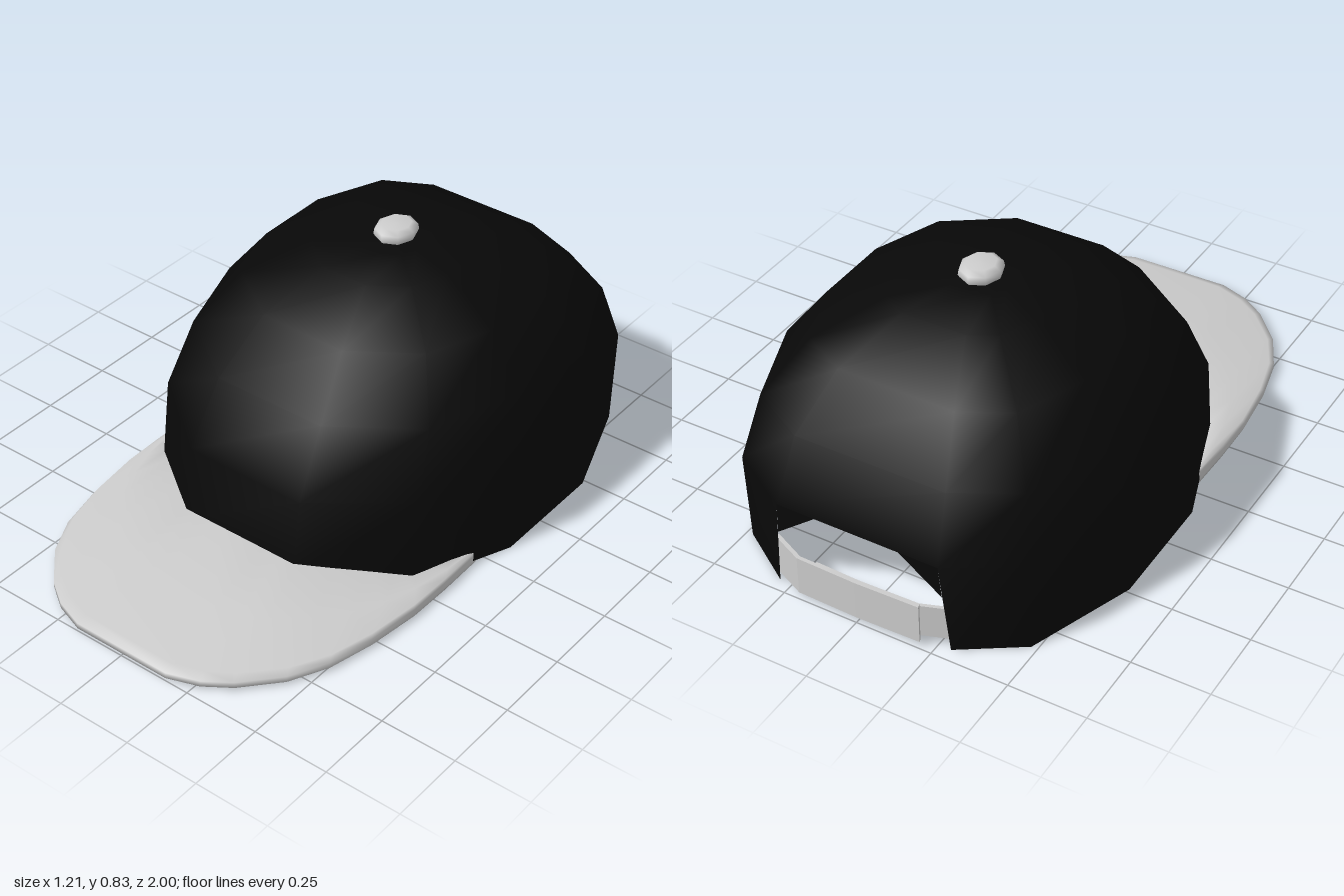
import * as THREE from 'three';

const grey = new THREE.MeshStandardMaterial({ color: 0xcccccc, side: THREE.DoubleSide });
const black = new THREE.MeshStandardMaterial({ color: 0x080808, side: THREE.DoubleSide });

// Joins rows of points, each a closed loop, into a smooth surface; skip(r, c) leaves a quad open
function loft(rows, skip = () => false, extra = []) {
  const n = rows[0].length, index = [];
  for (let r = 0; r < rows.length - 1; r++) {
    for (let c = 0; c < n; c++) {
      if (skip(r, c)) continue;
      const k = (c + 1) % n;
      const a = r * n + c, b = r * n + k, d = a + n, e = b + n;
      index.push(a, b, e, a, e, d);
    }
  }
  // extra loose triangles
  const points = [...rows.flat(), ...extra];
  for (let i = rows.length * n; i < points.length; i++) index.push(i);
  const g = new THREE.BufferGeometry();
  g.setAttribute('position', new THREE.Float32BufferAttribute(points.flat(), 3));
  g.setIndex(index);
  g.computeVertexNormals();
  return g;
}

function add(group, name, geometry, material) {
  const mesh = new THREE.Mesh(geometry, material);
  mesh.name = name;
  group.add(mesh);
  return mesh;
}

// Twelve-sided dome with an arched opening at the back
function crownGeometry() {
  const half = [[0.21, 0.465], [0.49, 0.25], [0.605, -0.1], [0.605, -0.5], [0.48, -0.85], [0.27, -0.975]];
  const plan = [...half, ...half.slice().reverse().map(([x, z]) => [-x, z])];
  // height, half width, front z, back z
  const rings = [
    [0, 0.605, 0.475, -0.96],
    [0.31, 0.6, 0.44, -0.98],
    [0.51, 0.555, 0.32, -0.9],
    [0.67, 0.43, 0.16, -0.755],
    [0.765, 0.235, -0.04, -0.55],
    [0.787, 0.1, -0.18, -0.39],
    [0.79, 0, -0.29, -0.29],
  ];
  const rimLift = [0.06, 0.03, 0, 0, 0, 0];
  const rows = rings.map(([y, w, f, b], r) => plan.map(([x, z], i) => {
    const t = (z + 0.975) / 1.44;
    const lift = r === 0 ? rimLift[Math.min(i, 11 - i)] : 0;
    const flare = r === 0 && (i === 5 || i === 6) ? 1.08 : 1;
    return [x * w / 0.605 * flare, y + lift, b + (f - b) * t];
  }));
  // corners that round the top of the opening
  const [p, q] = [rows[1][5], rows[1][6]];
  const corners = [
    p, [0.14, 0.31, p[2]], [0.275, 0.2, -0.973],
    q, [-0.275, 0.2, -0.973], [-0.14, 0.31, q[2]],
  ];
  return loft(rows, (r, c) => r === 0 && c === 5, corners);
}

// Curved visor, lofted from sections that run from the crown to its outer edge
function brimGeometry() {
  // outer x, outer z, inner x, inner z, inner height
  const half = [
    [0.17, 1, 0.08, 0.455, 0.1],
    [0.27, 0.965, 0.15, 0.455, 0.1],
    [0.35, 0.91, 0.21, 0.455, 0.1],
    [0.45, 0.8, 0.3, 0.385, 0.086],
    [0.51, 0.68, 0.38, 0.325, 0.075],
    [0.545, 0.53, 0.44, 0.275, 0.066],
    [0.565, 0.35, 0.485, 0.235, 0.06],
    [0.565, 0.2, 0.53, 0.12, 0.055],
    [0.56, 0.03, 0.55, 0.02, 0.05],
  ];
  const mirrored = half.slice().reverse().map(([ox, oz, ix, iz, y]) => [-ox, oz, -ix, iz, y]);
  const rows = [...mirrored, ...half].map(([ox, oz, ix, iz, y]) => {
    const at = (t, h) => [ix + (ox - ix) * t, h, iz + (oz - iz) * t];
    return [
      at(0, y), at(0.5, (y + 0.044) / 2), at(0.94, 0.042), at(1, 0.03),
      at(1, 0.01), at(0.95, 0), at(0.5, y * 0.2), at(0, y - 0.035),
    ];
  });
  return loft(rows);
}

// Flat band of constant thickness that follows a path of [x, z] points
function bandGeometry(path, thickness, height) {
  const outer = path.map(([x, z]) => new THREE.Vector2(x, -z));
  const inner = path.map(([x, z]) => new THREE.Vector2(x * 0.98, -z - thickness)).reverse();
  const g = new THREE.ExtrudeGeometry(new THREE.Shape([...outer, ...inner]), { depth: height, bevelEnabled: false });
  return g.rotateX(-Math.PI / 2);
}

export function createModel() {
  const cap = new THREE.Group();
  cap.name = 'cap';

  add(cap, 'crown', crownGeometry(), black);
  add(cap, 'brim', brimGeometry(), grey);

  // Button on top of the crown
  const profile = [[0.06, 0], [0.066, 0.012], [0.063, 0.03], [0.045, 0.042], [0, 0.043]];
  const button = add(cap, 'button',
    new THREE.LatheGeometry(profile.map(([x, y]) => new THREE.Vector2(x, y)), 8), grey);
  button.position.set(0, 0.785, -0.295);
  button.scale.z = 1.15;

  // Two overlapping halves of the rear strap
  const strap = new THREE.Group();
  strap.name = 'strap';
  cap.add(strap);
  const outer = add(strap, 'outerStrap',
    bandGeometry([[0.31, -0.945], [0.2, -0.995], [0, -1], [-0.21, -0.995]], 0.012, 0.13), grey);
  outer.position.y = 0.02;
  const inner = add(strap, 'innerStrap',
    bandGeometry([[-0.31, -0.94], [-0.2, -0.98], [0, -0.985], [0.15, -0.98]], 0.01, 0.11), grey);
  inner.position.y = 0.03;

  return cap;
}
